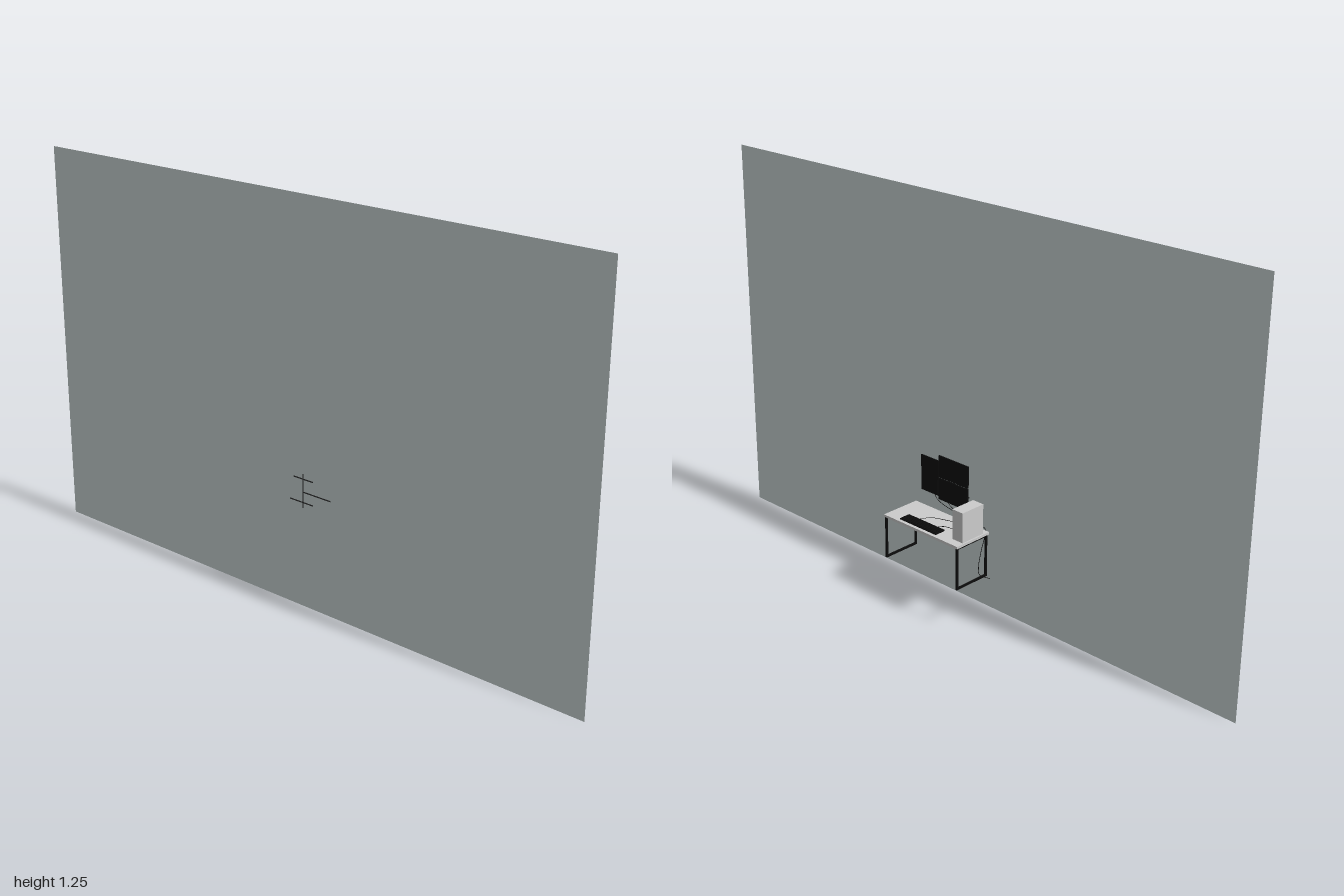
import * as THREE from 'three';

const mat = (color, side = THREE.FrontSide) => new THREE.MeshStandardMaterial({ color, side });

export function createModel() {
  const root = new THREE.Group();
  const grey = mat(0xcccccc);
  const black = mat(0x0c0c0c);
  const dark = mat(0x333333);

  // Box given by its min and max corners
  function box(name, [x0, y0, z0], [x1, y1, z1], material, parent = root) {
    const mesh = new THREE.Mesh(new THREE.BoxGeometry(x1 - x0, y1 - y0, z1 - z0), material);
    mesh.position.set((x0 + x1) / 2, (y0 + y1) / 2, (z0 + z1) / 2);
    mesh.name = name;
    parent.add(mesh);
    return mesh;
  }

  function group(name) {
    const g = new THREE.Group();
    g.name = name;
    root.add(g);
    return g;
  }

  function cable(name, points) {
    const curve = new THREE.CatmullRomCurve3(points.map(p => new THREE.Vector3(...p)));
    const mesh = new THREE.Mesh(new THREE.TubeGeometry(curve, 40, 0.0009, 6), black);
    mesh.name = name;
    root.add(mesh);
  }

  // Flat wall behind the desk
  const wall = new THREE.Mesh(new THREE.PlaneGeometry(2, 1.25), mat(0xc9d4d4, THREE.DoubleSide));
  wall.name = 'wall';
  wall.rotation.y = Math.PI / 2;
  wall.position.set(-0.086, 0.625, 0);
  root.add(wall);

  // Desk: top and two rectangular leg frames
  box('deskTop', [-0.051, 0.267, -0.133], [0.085, 0.275, 0.174], grey);
  for (const z of [-0.129, 0.168]) {
    const legs = group('legFrame');
    const t = 0.006, x0 = -0.048, x1 = 0.081, y0 = 0.129, y1 = 0.267;
    box('leg', [x0, y0, z], [x0 + t, y1, z + t], black, legs);
    box('leg', [x1 - t, y0, z], [x1, y1, z + t], black, legs);
    box('footRail', [x0 + t, y0, z], [x1 - t, y0 + t, z + t], black, legs);
    box('topRail', [x0 + t, y1 - t, z], [x1 - t, y1, z + t], black, legs);
  }

  // Computer case
  box('computerCase', [-0.03, 0.275, -0.128], [0.057, 0.371, -0.087], grey);

  // Keyboard with rows of keys
  const keyboard = group('keyboard');
  box('keyboardBase', [0.036, 0.275, -0.035], [0.074, 0.2785, 0.116], black, keyboard);
  for (let row = 0; row < 5; row++) {
    for (let col = 0; col < 18; col++) {
      const x = 0.0385 + row * 0.0068, z = -0.032 + col * 0.0081;
      box('key', [x, 0.2785, z], [x + 0.0056, 0.2805, z + 0.0068], black, keyboard);
    }
  }

  // Monitors: two stacked wide ones and one upright, each as z and y range
  const monitors = [
    ['upperMonitor', -0.03, 0.092, 0.376, 0.447],
    ['lowerMonitor', -0.03, 0.092, 0.302, 0.373],
    ['uprightMonitor', 0.094, 0.167, 0.312, 0.428]
  ];
  for (const [name, z0, z1, y0, y1] of monitors) {
    const g = group(name);
    const zc = (z0 + z1) / 2, yc = (y0 + y1) / 2;
    box('housing', [-0.071, y0, z0], [-0.067, y1, z1], black, g);
    box('screen', [-0.067, y0 + 0.002, z0 + 0.002], [-0.0665, y1 - 0.002, z1 - 0.002], black, g);
    box('mountPlate', [-0.074, yc - 0.01, zc - 0.01], [-0.071, yc + 0.01, zc + 0.01], dark, g);
    box('mountArm', [-0.084, yc - 0.003, zc - 0.003], [-0.074, yc + 0.003, zc + 0.003], dark, g);
  }

  // Wall bracket: one upright and three cross rails
  const bracket = group('wallBracket');
  box('upright', [-0.0862, 0.32, 0.029], [-0.083, 0.427, 0.033], dark, bracket);
  for (const [y, z0, z1] of [[0.411, -0.005, 0.07], [0.37, 0.03, 0.135], [0.337, -0.02, 0.07]]) {
    box('crossRail', [-0.0862, y - 0.002, z0], [-0.083, y + 0.002, z1], dark, bracket);
  }

  // Monitor cables running down to the back of the case
  [0.07, 0.03, 0.12].forEach((z, i) => {
    const y = 0.335 - i * 0.012;
    cable('monitorCable', [
      [-0.074, 0.34, z], [-0.074, 0.3, z - 0.01], [-0.071, 0.281, z * 0.5 - 0.02],
      [-0.06, 0.29, -0.06], [-0.046, y - 0.02, -0.1], [-0.03, y, -0.107]
    ]);
  });

  // Keyboard and second device leads across the desk
  cable('keyboardCable', [
    [0.037, 0.277, -0.004], [0.02, 0.277, -0.015], [0.01, 0.277, -0.05],
    [-0.015, 0.277, -0.085], [-0.04, 0.283, -0.108], [-0.03, 0.295, -0.112]
  ]);
  cable('deviceCable', [
    [0.037, 0.277, 0.072], [0.005, 0.277, 0.055], [-0.015, 0.277, 0.01],
    [-0.035, 0.277, -0.05], [-0.052, 0.282, -0.095], [-0.03, 0.288, -0.115]
  ]);

  // Power lead hanging behind the desk
  cable('powerCable', [
    [-0.03, 0.285, -0.118], [-0.048, 0.285, -0.117], [-0.053, 0.26, -0.115], [-0.053, 0.2, -0.1],
    [-0.055, 0.14, -0.088], [-0.064, 0.108, -0.085], [-0.085, 0.097, -0.108]
  ]);

  return root;
}
